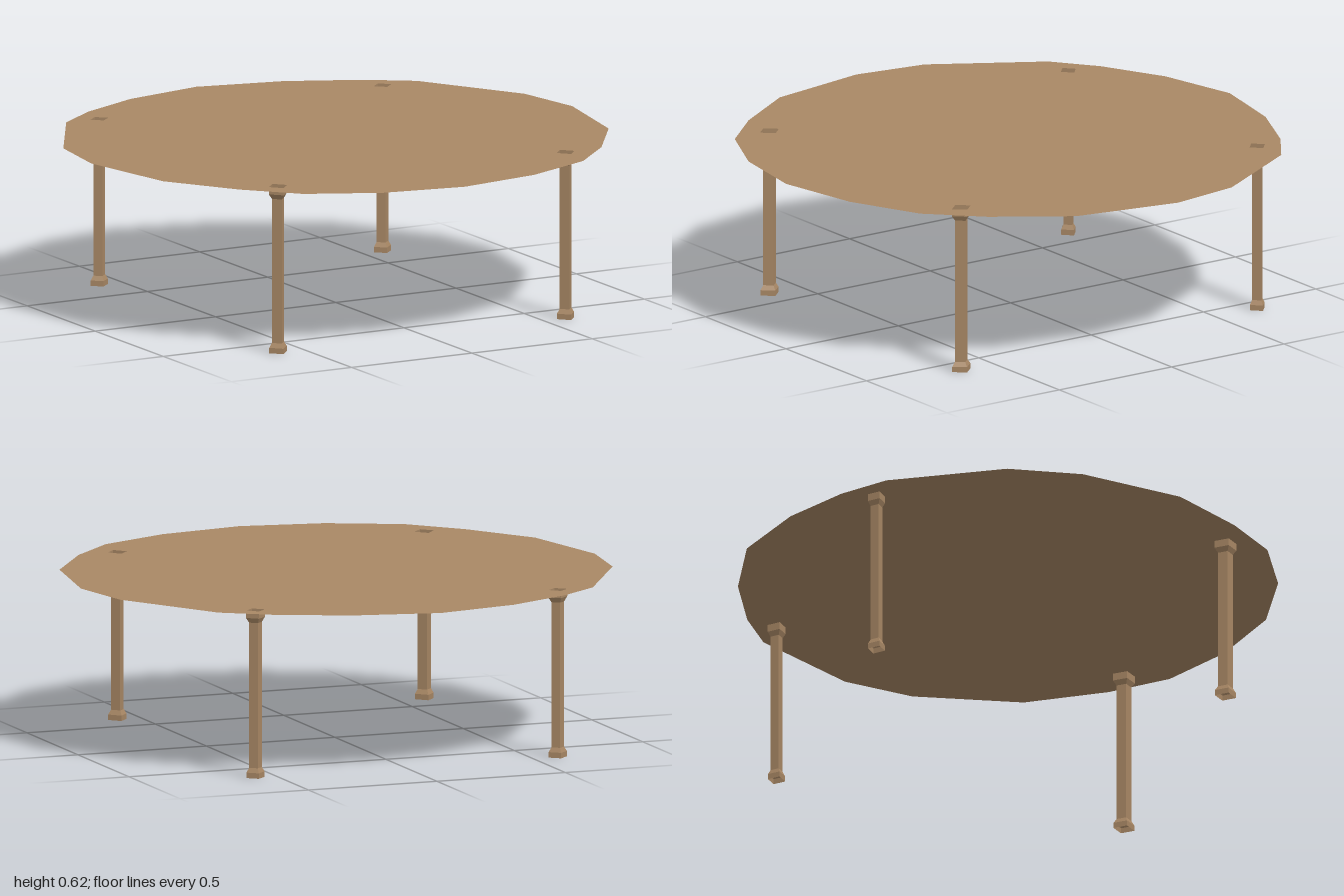
import * as THREE from 'three';

const TOP = 0.615;
const wood = new THREE.MeshStandardMaterial({ color: 0xa98865, flatShading: true, side: THREE.DoubleSide });

// Leg centres and half diagonals of their diamond section: x, z, half width, half depth
const LEGS = {
  frontLeftLeg: [0.591, 0.643, 0.037, 0.042],
  frontRightLeg: [-0.603, 0.641, 0.038, 0.042],
  backLeftLeg: [0.58, -0.682, 0.037, 0.034],
  backRightLeg: [-0.596, -0.684, 0.037, 0.033],
};

// Uneven hand-cut outline of the table top, as [x, z]
const OUTLINE = [
  [-0.02, -0.99], [0.3, -0.92], [0.56, -0.8], [0.725, -0.685], [0.955, -0.3],
  [1, -0.03], [0.925, 0.37], [0.745, 0.635], [0.57, 0.81], [0.3, 0.93],
  [-0.02, 0.985], [-0.33, 0.93], [-0.59, 0.805], [-0.755, 0.625], [-0.925, 0.365],
  [-1, -0.03], [-0.96, -0.305], [-0.73, -0.69], [-0.57, -0.81], [-0.33, -0.925],
];

// Half-width of a leg (relative) against height: foot, shaft, flared cap
const PROFILE = [
  [0.96, 0], [0.96, 0.02], [0.67, 0.037], [0.67, 0.57], [1, 0.588], [1, TOP],
].map(([r, y]) => new THREE.Vector2(r, y));

function makeTop() {
  const toPoints = (list) => list.map(([x, z]) => new THREE.Vector2(x, -z));
  const shape = new THREE.Shape(toPoints(OUTLINE));
  // Diamond opening above every hollow leg
  for (const [x, z, rx, rz] of Object.values(LEGS)) {
    shape.holes.push(new THREE.Path(toPoints([[x + rx, z], [x, z + rz], [x - rx, z], [x, z - rz]])));
  }
  const mesh = new THREE.Mesh(new THREE.ShapeGeometry(shape).rotateX(-Math.PI / 2), wood);
  mesh.position.y = TOP;
  mesh.name = 'tableTop';
  return mesh;
}

// Hollow four-sided leg, open at both ends
function makeLeg(name, [x, z, rx, rz]) {
  const geometry = new THREE.LatheGeometry(PROFILE, 4).scale(rx, 1, rz);
  const mesh = new THREE.Mesh(geometry, wood);
  mesh.position.set(x, 0, z);
  mesh.name = name;
  return mesh;
}

export function createModel() {
  const group = new THREE.Group();
  group.name = 'table';
  group.add(makeTop());
  for (const [name, spec] of Object.entries(LEGS)) group.add(makeLeg(name, spec));
  return group;
}
